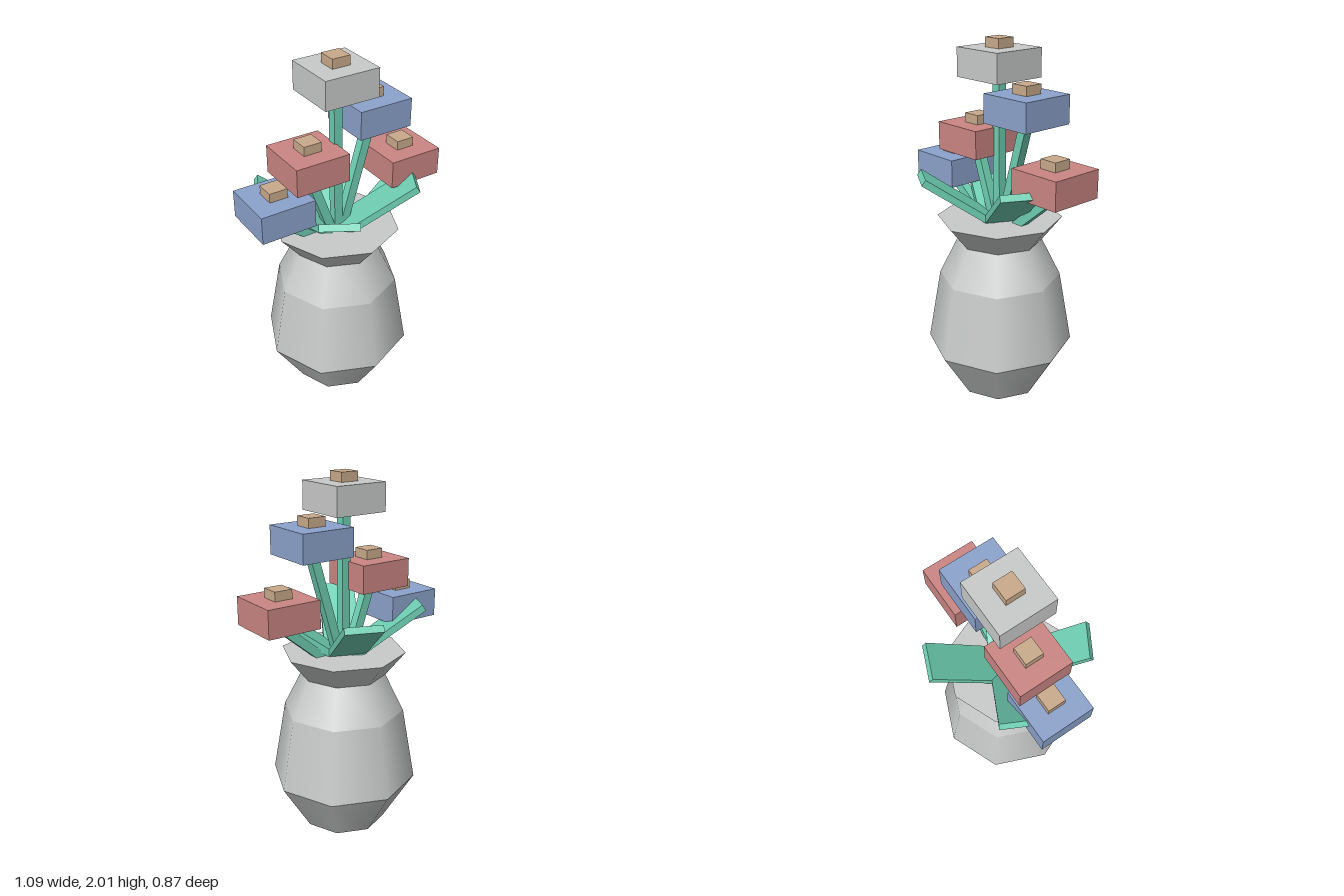
import * as THREE from 'three';

const CX = -0.02, CZ = 0.005; // axis of the vase

function mat(name, color) {
  const m = new THREE.MeshStandardMaterial({ color });
  m.name = name;
  return m;
}

export function createModel() {
  const ceramic = mat('ceramic', 0xc9cbca);
  const green = mat('green', 0x6fcfb3);
  const blue = mat('blue', 0x8ca3cc);
  const red = mat('red', 0xcb8683);
  const tan = mat('tan', 0xcaab8c);
  const model = new THREE.Group();
  model.name = 'vaseOfFlowers';

  const add = (parent, name, geometry, material, x, y, z) => {
    const mesh = new THREE.Mesh(geometry, material);
    mesh.name = name;
    mesh.position.set(x, y, z);
    parent.add(mesh);
    return mesh;
  };

  // Eight-sided vase: one band per profile step keeps the horizontal edges sharp
  const vase = new THREE.Group();
  vase.name = 'vase';
  model.add(vase);
  const profile = [[0, 0], [0.24, 0], [0.412, 0.28], [0.34, 0.69], [0.236, 0.9], [0.345, 1.035], [0, 1.035]];
  const names = ['base', 'lowerBody', 'middleBody', 'shoulder', 'rim', 'top'];
  names.forEach((name, i) => {
    const points = [profile[i], profile[i + 1]].map(([r, y]) => new THREE.Vector2(r, y));
    add(vase, name, new THREE.LatheGeometry(points, 8), ceramic, CX, 0, CZ);
  });

  // Flowers: stem leaning from the neck, block bloom, small centre
  const root = new THREE.Vector3(CX, 0.9, CZ);
  const flowers = [
    [-0.022, 1.8, ceramic],
    [0.182, 1.59, blue],
    [-0.19, 1.38, red],
    [0.39, 1.245, red],
    [-0.394, 1.177, blue],
  ];
  for (const [x, y, material] of flowers) {
    const flower = new THREE.Group();
    flower.name = 'flower';
    model.add(flower);
    const lean = new THREE.Vector3(x, y, CZ).sub(root);
    const length = lean.length();
    const stem = add(flower, 'stem', new THREE.BoxGeometry(0.05, length, 0.05), green,
      (x + root.x) / 2, (y + root.y) / 2, CZ);
    stem.rotation.z = -Math.atan2(lean.x, lean.y);
    add(flower, 'bloom', new THREE.BoxGeometry(0.308, 0.154, 0.308), material, x, y + 0.077, CZ);
    add(flower, 'bloomCentre', new THREE.BoxGeometry(0.103, 0.051, 0.103), tan, x, y + 0.1795, CZ);
  }

  // Broad leaves fanning outwards; each entry is the outward direction (x, z)
  const run = 0.425, rise = 0.295, bottom = 0.99;
  for (const [dx, dz] of [[-0.505, 0.863], [0.377, -0.926], [0.878, 0.478], [-0.892, -0.452]]) {
    const leaf = new THREE.Group();
    leaf.name = 'leaf';
    leaf.position.set(CX, bottom, CZ);
    leaf.rotation.y = Math.atan2(dx, dz);
    model.add(leaf);
    const blade = add(leaf, 'leafBlade', new THREE.BoxGeometry(0.205, 0.038, Math.hypot(run, rise)),
      green, 0, rise / 2, run / 2);
    blade.rotation.x = -Math.atan2(rise, run);
  }

  return model;
}
